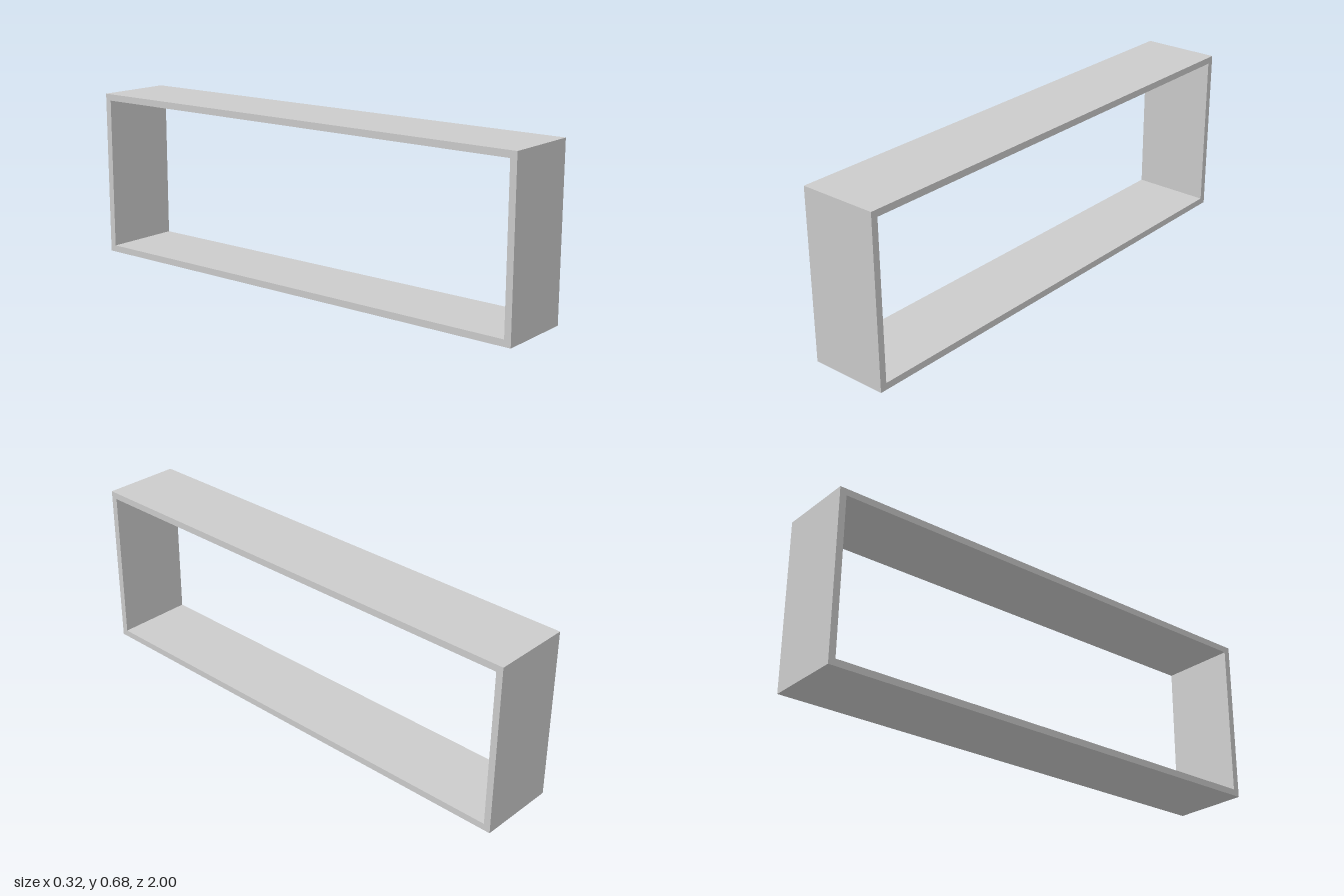
import * as THREE from 'three';

const LENGTH = 2, HEIGHT = 0.683, DEPTH = 0.32, WALL = 0.027;

// Rectangle outline, inset from the outer size of the frame
function rectangle(PathType, inset) {
  const x = LENGTH / 2 - inset, low = inset, high = HEIGHT - inset;
  return new PathType([
    new THREE.Vector2(-x, low),
    new THREE.Vector2(x, low),
    new THREE.Vector2(x, high),
    new THREE.Vector2(-x, high),
  ]);
}

export function createModel() {
  const group = new THREE.Group();
  group.name = 'openShelfBox';

  // Four thin walls in one piece, open on both long sides
  const outline = rectangle(THREE.Shape, 0);
  outline.holes.push(rectangle(THREE.Path, WALL));
  const geometry = new THREE.ExtrudeGeometry(outline, { depth: DEPTH, bevelEnabled: false });
  geometry.translate(0, 0, -DEPTH / 2);
  geometry.rotateY(Math.PI / 2);

  const frame = new THREE.Mesh(geometry, new THREE.MeshStandardMaterial({ color: 0xcccccc }));
  frame.name = 'frame';
  group.add(frame);
  return group;
}
